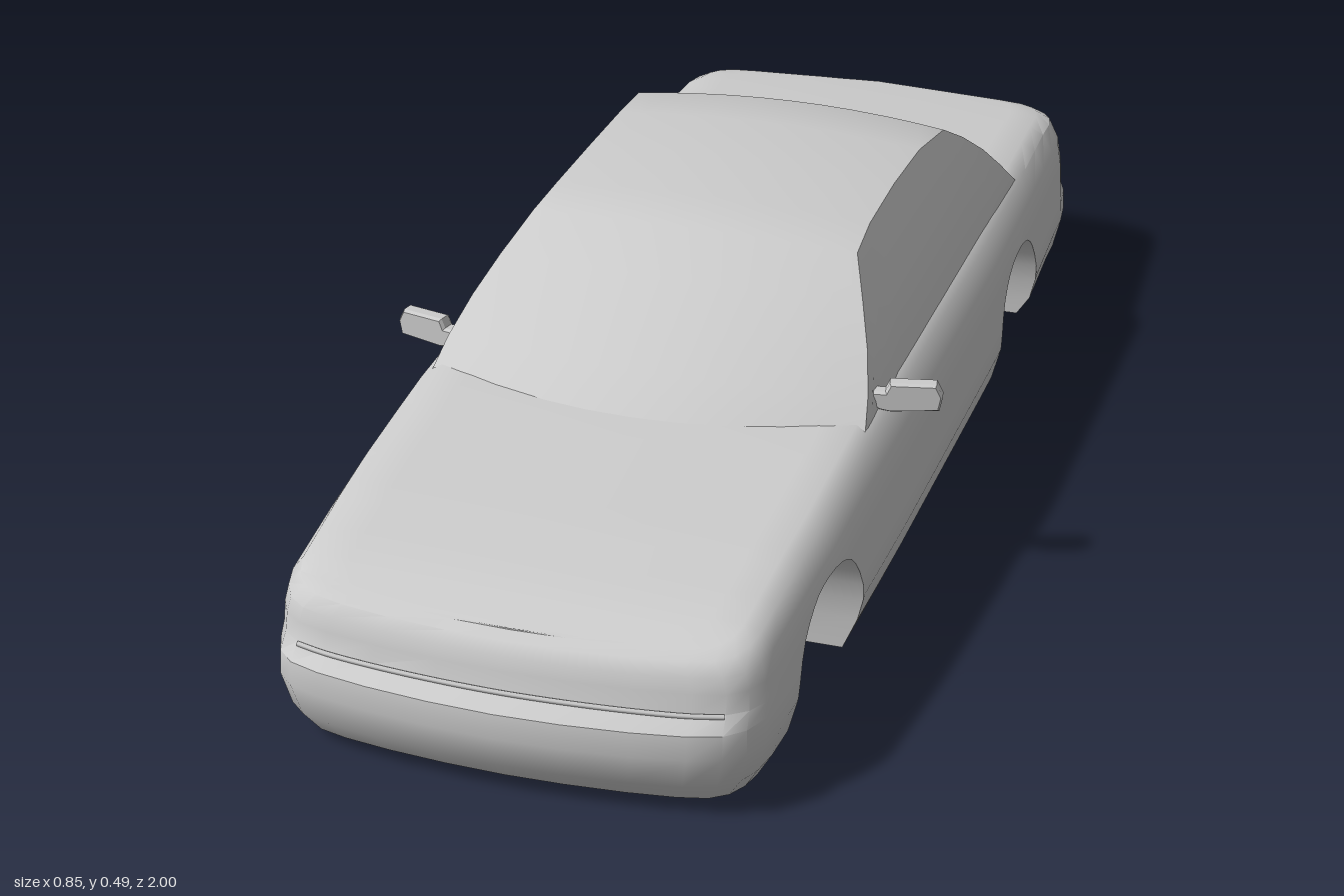
import * as THREE from 'three';
import { toCreasedNormals } from 'three/addons/utils/BufferGeometryUtils.js';

const grey = new THREE.MeshStandardMaterial({ color: 0xcccccc, side: THREE.DoubleSide });

// Piecewise linear lookup in a list of [key, value], keys rising
function lookup(list, k) {
  if (k <= list[0][0]) return list[0][1];
  for (let i = 1; i < list.length; i++) {
    const [k0, v0] = list[i - 1], [k1, v1] = list[i];
    if (k <= k1) return k1 - k0 < 1e-9 ? v1 : v0 + (v1 - v0) * (k - k0) / (k1 - k0);
  }
  return list[list.length - 1][1];
}

// Skin over rows of points
function skin(rows, crease = 0.6) {
  const n = rows[0].length, index = [];
  for (let i = 0; i < rows.length - 1; i++) {
    for (let j = 0; j < n - 1; j++) {
      const a = i * n + j, b = a + 1, c = a + n, d = c + 1;
      index.push(a, b, c, b, d, c);
    }
  }
  const geo = new THREE.BufferGeometry();
  geo.setAttribute('position', new THREE.Float32BufferAttribute(rows.flat(2), 3));
  geo.setIndex(index);
  return toCreasedNormals(geo, crease);
}

const mirrored = half => [...half, ...half.slice(0, -1).reverse().map(([x, y, z]) => [-x, y, z])];

// Body rules along the length
const topHeight = z => lookup([[-0.94, 0.288], [-0.85, 0.295], [-0.6, 0.307], [0.1, 0.307], [0.4, 0.3],
  [0.7, 0.272], [0.85, 0.25], [0.95, 0.213]], z);
const floorHeight = z => lookup([[-1, 0.04], [-0.32, 0], [0.5, 0], [1, 0.02]], z);
const taper = z => lookup([[-0.85, 0.945], [-0.6, 0.98], [-0.3, 1], [0.3, 1], [0.6, 0.985], [0.85, 0.95]], z);
const corner = [[0.95, 0], [0.93, 0.3], [0.89, 0.55], [0.82, 0.72], [0.7, 0.82], [0.5, 0.91], [0.25, 0.975], [0, 1]];

// Side profile: [height or share above the bumper, half width, front z, rear z]
const lower = [[0, 0.34, 0.96, -0.97], [0.05, 0.362, 0.985, -0.99], [0.1, 0.375, 1, -1],
  [0.135, 0.374, 0.995, -0.995], [0.155, 0.372, 0.965, -0.955]];
const upper = [[0.35, 0.37, 0.957, -0.94], [0.65, 0.363, 0.953, -0.935], [0.88, 0.345, 0.94, -0.943], [0.97, 0.32, 0.92, -0.93]];

// Wheel arches
const arches = [-0.475, 0.635], archHalf = 0.155, wellX = 0.24;
const archOffset = z => Math.min(...arches.map(c => Math.abs(z - c) / archHalf));
const inArch = z => archOffset(z) <= 1.0001;
const archHeight = z => 0.21 * Math.pow(Math.max(0, 1 - Math.pow(archOffset(z), 2.5)), 1 / 2.5);

// Stations from rear middle, round the corner, along the side, to front middle
function makeStations() {
  const zs = [-0.8, -0.72, -0.25, -0.12, 0, 0.12, 0.25, 0.38];
  for (const c of arches) {
    zs.push(c - archHalf * 1.003, c + archHalf * 1.003);
    for (let i = 0; i <= 20; i++) zs.push(c - archHalf * Math.cos(Math.PI * i / 20));
  }
  zs.sort((a, b) => a - b);
  return [
    ...[...corner].reverse().map(([w, t]) => ({ w, t: Math.pow(t, 0.8), end: -1 })),
    ...zs.map(z => ({ w: taper(z), z, end: 0 })),
    ...corner.map(([w, t]) => ({ w, t, end: 1 })),
  ];
}

function bodySide({ w, t, z, end }) {
  const place = (zf, zr) => end === 0 ? z : end > 0 ? 0.85 + (zf - 0.85) * t : -0.85 + (zr + 0.85) * t;
  const top = topHeight(place(0.92, -0.93));
  const pts = [];
  for (const [y, x, zf, zr] of lower) {
    const pz = place(zf, zr);
    pts.push([x * w, y === 0 ? floorHeight(pz) : y, pz]);
  }
  for (const [f, x, zf, zr] of upper) pts.push([x * w, 0.155 + (top - 0.155) * f, place(zf, zr)]);
  // Trim the lower edge to the arch
  if (end === 0 && inArch(z)) {
    const edge = Math.max(archHeight(z), pts[0][1]);
    const x = lookup(pts.map(p => [p[1], p[0]]), edge);
    for (const p of pts) if (p[1] < edge) { p[0] = x; p[1] = edge; }
  }
  return { pts, top };
}

function makeBody(add) {
  const stations = makeStations();
  const sides = stations.map(bodySide);

  add('bodyShell', skin(sides.map(({ pts, top }) => {
    const [ex, ey, ez] = pts[pts.length - 1];
    const across = [0.85, 0.65, 0.4, 0.2, 0].map(k => [ex * k, ey + (top - ey) * (1 - k * k), ez]);
    return mirrored([...pts, ...across]);
  })));

  add('floor', skin(sides.map(({ pts }, i) => {
    const s = stations[i], z = pts[0][2], y = floorHeight(z);
    const x = s.end === 0 && inArch(z) ? wellX : pts[0][0];
    return [[-x, y, z], [0, y, z], [x, y, z]];
  })));

  // Arch lining and flat inner wall of each wheel well
  for (const c of arches) {
    const rows = sides.filter((s, i) => stations[i].end === 0 && Math.abs(stations[i].z - c) <= archHalf * 1.0001);
    for (const side of [1, -1]) {
      add('wheelWell', skin(rows.map(({ pts }) => {
        const [x, y, z] = pts[0];
        return [[side * x, y, z], [side * wellX, y, z], [side * wellX, floorHeight(z), z]];
      })));
    }
  }
}

// Windscreen, roof, rear window and side windows
function makeCabin(add) {
  const roofLine = [[-0.66, 0.28], [-0.62, 0.312], [-0.56, 0.355], [-0.5, 0.398], [-0.44, 0.437], [-0.38, 0.468],
    [-0.25, 0.482], [-0.1, 0.485], [0.05, 0.482], [0.15, 0.473], [0.23, 0.426], [0.3, 0.382], [0.37, 0.338], [0.43, 0.298], [0.45, 0.28]];
  const sideLine = [[0.25, 0.34], [0.29, 0.333], [0.31, 0.33], [0.385, 0.3], [0.472, 0.247]];
  const bow = z => lookup([[-0.62, 0.05], [-0.4, 0.02], [-0.2, 0], [0, 0], [0.15, -0.025], [0.43, -0.055]], z);
  const rows = roofLine.map(([z, h]) => {
    const edge = h - 0.013, half = [];
    const put = (x, y) => half.push([x, y, z + bow(z) * (x / 0.31) ** 2]);
    for (let i = 0; i <= 5; i++) {
      const y = 0.25 + (edge - 0.25) * i / 5;
      put(lookup(sideLine, y), y);
    }
    const ex = lookup(sideLine, edge);
    for (const k of [0.85, 0.65, 0.4, 0.2, 0]) put(ex * k, edge + 0.013 * (1 - k * k));
    return mirrored(half);
  });
  add('cabin', skin(rows, 0.55));
}

// Thin moulding that follows the rounded front or rear
function makeMoulding(add, name, y, zEnd, reach, radius) {
  const s = Math.sign(zEnd);
  const half = corner.filter(([w]) => w <= reach).map(([w, t]) =>
    [0.37 * w, y, s * (0.85 + (Math.abs(zEnd) - 0.85) * (s < 0 ? Math.pow(t, 0.8) : t))]);
  const path = new THREE.CatmullRomCurve3(mirrored(half).map(p => new THREE.Vector3(...p)));
  add(name, new THREE.TubeGeometry(path, 40, radius, 6));
}

function makeMirrors(add) {
  const outline = [[-0.03, 0.3], [-0.015, 0.293], [0, 0.29], [0.068, 0.294], [0.072, 0.314], [0.064, 0.33],
    [0, 0.33], [-0.006, 0.316], [-0.03, 0.316]];
  const shape = new THREE.Shape(outline.map(([x, y]) => new THREE.Vector2(x, y)));
  for (const side of [1, -1]) {
    const geo = new THREE.ExtrudeGeometry(shape, { depth: 0.016, bevelThickness: 0.005, bevelSize: 0.003, bevelSegments: 1 });
    const mesh = add(side > 0 ? 'leftMirror' : 'rightMirror', geo);
    mesh.scale.x = side;
    mesh.rotation.y = side * 0.22;
    mesh.position.set(side * 0.346, 0, 0.268);
  }
}

export function createModel() {
  const car = new THREE.Group();
  car.name = 'car';
  const add = (name, geo) => {
    const mesh = new THREE.Mesh(geo, grey);
    mesh.name = name;
    car.add(mesh);
    return mesh;
  };
  makeBody(add);
  makeCabin(add);
  makeMoulding(add, 'frontBumperMoulding', 0.153, 0.968, 0.85, 0.004);
  makeMoulding(add, 'rearBumperMoulding', 0.175, -0.944, 0.85, 0.004);
  makeMoulding(add, 'bootLip', 0.268, -0.942, 0.75, 0.005);
  // Number plate panel
  const plate = add('platePanel', new THREE.BoxGeometry(0.16, 0.055, 0.012));
  plate.position.set(0, 0.222, -0.936);
  makeMirrors(add);
  return car;
}
